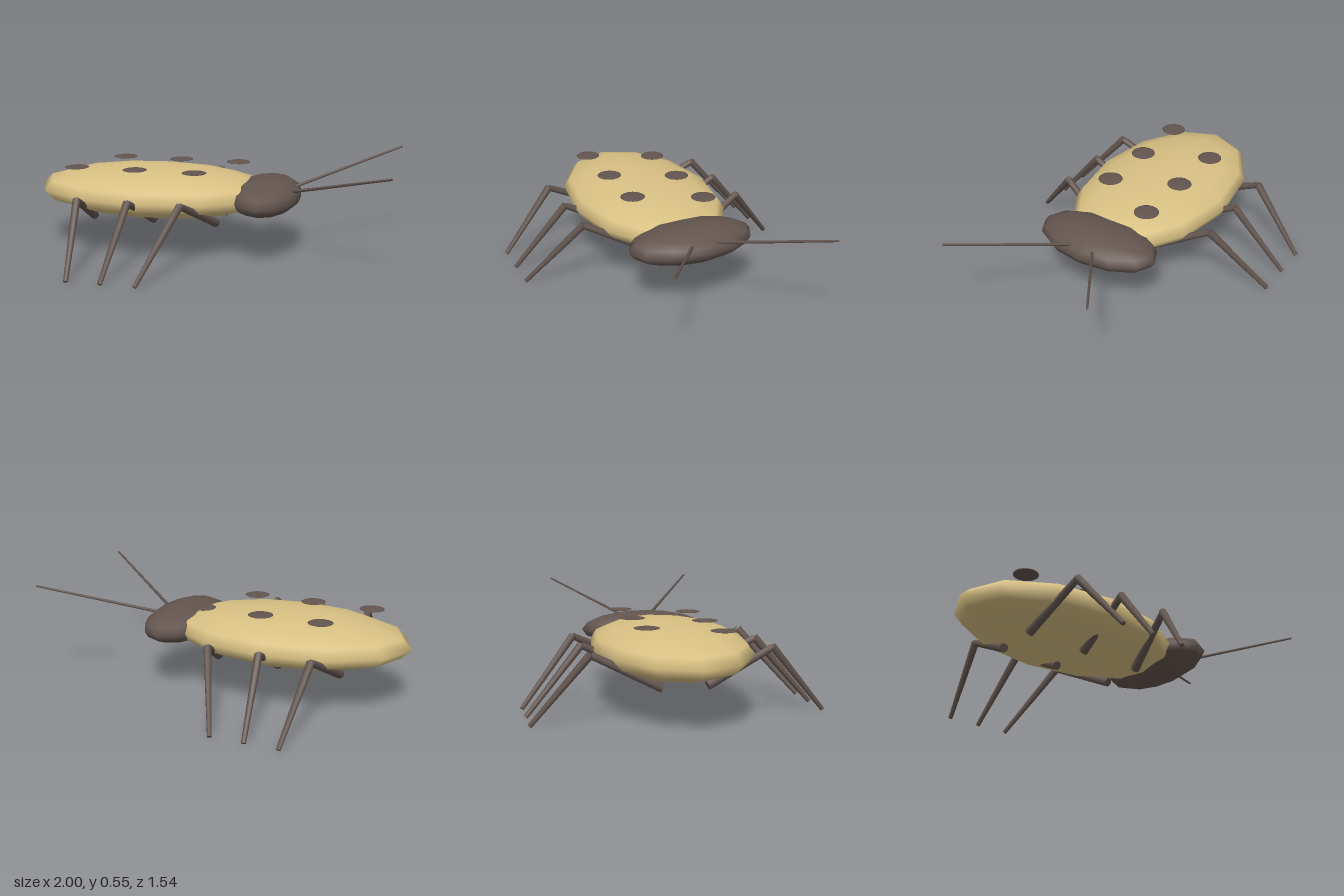
import * as THREE from 'three';

const shell = new THREE.MeshStandardMaterial({ name: 'tan shell', color: 0xd8c083 });
const dark = new THREE.MeshStandardMaterial({ name: 'dark brown', color: 0x63554f });

// Sphere stretched to the given half sizes
function ellipsoid(name, material, center, half, segments = 12, rings = 8) {
  const geometry = new THREE.SphereGeometry(1, segments, rings).scale(...half);
  const mesh = new THREE.Mesh(geometry, material);
  mesh.name = name;
  mesh.position.set(...center);
  return mesh;
}

// Tapered rod from a to b
function rod(name, a, b, radiusA, radiusB, sides = 8) {
  const from = new THREE.Vector3(...a);
  const to = new THREE.Vector3(...b);
  const dir = to.clone().sub(from);
  const mesh = new THREE.Mesh(
    new THREE.CylinderGeometry(radiusB, radiusA, dir.length(), sides), dark);
  mesh.name = name;
  mesh.position.copy(from).add(to).multiplyScalar(0.5);
  mesh.quaternion.setFromUnitVectors(new THREE.Vector3(0, 1, 0), dir.normalize());
  return mesh;
}

export function createModel() {
  const model = new THREE.Group();
  model.name = 'beetle';

  // Body and head, the insect heads toward +x
  model.add(ellipsoid('body', shell, [-0.325, 0.33, 0], [0.675, 0.133, 0.41]));
  model.add(ellipsoid('head', dark, [0.3, 0.33, 0], [0.19, 0.095, 0.355]));

  // Two staggered rows of thin spots
  for (let i = 0; i < 6; i++) {
    const z = i % 2 ? -0.173 : 0.173;
    model.add(ellipsoid('spot', dark, [-0.728 + i * 0.1665, 0.468, z], [0.067, 0.0048, 0.067], 16, 8));
  }

  // Hip, knee and foot x for the rear, middle and front legs
  const legs = [[-0.655, -0.62, -0.575], [-0.31, -0.343, -0.395], [0.045, -0.06, -0.213]];
  for (const side of [1, -1]) {
    for (const [hip, knee, foot] of legs) {
      const leg = new THREE.Group();
      leg.name = 'leg';
      leg.add(rod('upperLeg', [hip, 0.185, side * 0.115], [knee, 0.355, side * 0.463], 0.025, 0.018));
      leg.add(rod('lowerLeg', [knee, 0.36, side * 0.463], [foot, 0.009, side * 0.76], 0.021, 0.012));
      model.add(leg);
    }
    model.add(rod('antenna', [0.44, 0.367, side * 0.06], [0.997, 0.549, side * 0.436], 0.009, 0.006, 6));
  }
  return model;
}
